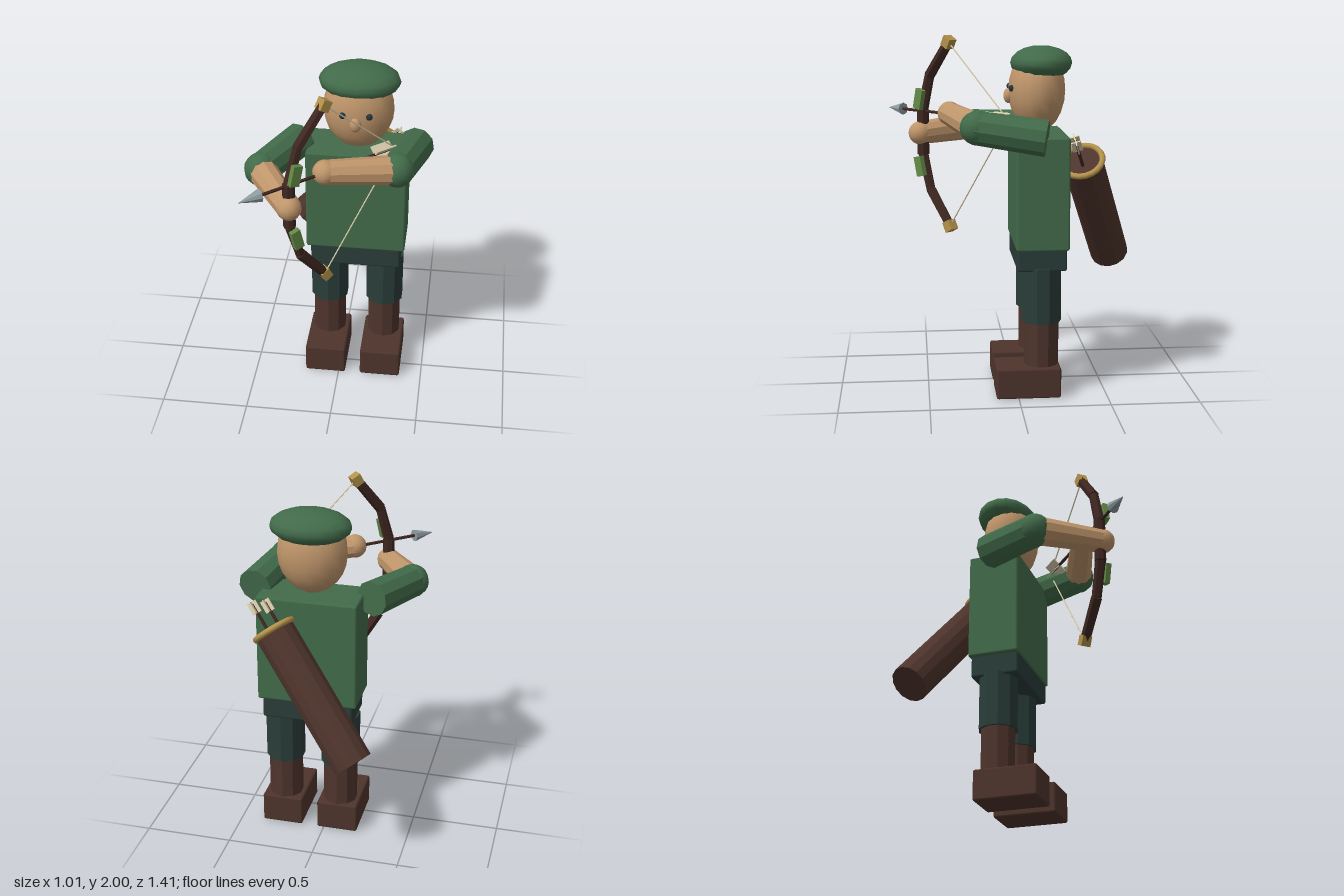
import * as THREE from 'three';
import { RoundedBoxGeometry } from 'three/addons/geometries/RoundedBoxGeometry.js';

const mat = (name, color, flatShading = false) => {
  const m = new THREE.MeshStandardMaterial({ color, flatShading });
  m.name = name;
  return m;
};
const V = (x, y, z) => new THREE.Vector3(x, y, z);
const UP = V(0, 1, 0);

export function createModel() {
  const root = new THREE.Group();
  root.name = 'archer';
  const green = mat('tunic green', 0x426b4a);
  const dark = mat('trouser green', 0x2a3d39);
  const leather = mat('leather brown', 0x4e342c);
  const wood = mat('bow wood', 0x3f2721);
  const skin = mat('skin', 0xc0966b);
  const gold = mat('gold', 0xb3924a);
  const steel = mat('steel', 0x8f9ca1);
  const cream = mat('feather cream', 0xd8ccac);
  const leaf = mat('grip leaf green', 0x648b47);
  const eyeMat = mat('eye', 0x26363c);

  const add = (name, geo, material, parent = root) => {
    const m = new THREE.Mesh(geo, material);
    m.name = name;
    parent.add(m);
    return m;
  };
  // Softly bevelled block given by its extents
  const block = (name, x0, x1, y0, y1, z0, z1, material) => {
    const g = new RoundedBoxGeometry(x1 - x0, y1 - y0, z1 - z0, 1, 0.012);
    add(name, g, material).position.set((x0 + x1) / 2, (y0 + y1) / 2, (z0 + z1) / 2);
  };
  // Faceted tapered rod from a to b
  const rod = (name, a, b, ra, rb, material, sides = 10, parent = root) => {
    const d = b.clone().sub(a);
    const g = new THREE.CylinderGeometry(rb, ra, d.length(), sides).toNonIndexed();
    g.computeVertexNormals();
    const m = add(name, g, material, parent);
    m.position.copy(a).addScaledVector(d, 0.5);
    m.quaternion.setFromUnitVectors(UP, d.normalize());
    return m;
  };
  const ball = (name, c, rx, ry, rz, material, w = 16, h = 12) => {
    const m = add(name, new THREE.SphereGeometry(1, w, h), material);
    m.position.copy(c);
    m.scale.set(rx, ry, rz);
    return m;
  };
  // Two crossed feather plates centred on c, along direction d
  const fletching = (name, c, d, length, width) => {
    const g = new THREE.Group();
    g.name = name;
    for (let i = 0; i < 2; i++) {
      add('feather', new THREE.BoxGeometry(width, length, 0.008), cream, g).rotation.y = i * Math.PI / 2;
    }
    g.position.copy(c);
    g.quaternion.setFromUnitVectors(UP, d);
    root.add(g);
    return g;
  };

  // Torso and hips
  block('torso', -0.2, 0.37, 0.85, 1.475, -0.28, 0.015, green);
  block('hips', -0.175, 0.345, 0.73, 0.86, -0.268, 0.008, dark);

  // Legs and boots
  for (const [side, x] of [['right', -0.08], ['left', 0.25]]) {
    rod(side + 'Thigh', V(x, 0.43, -0.135), V(x, 0.745, -0.135), 0.112, 0.112, dark);
    rod(side + 'Shin', V(x, 0.15, -0.135), V(x, 0.44, -0.135), 0.098, 0.098, leather);
    block(side + 'Boot', x - 0.12, x + 0.12, 0.005, 0.18, -0.238, 0.125, leather);
  }

  // Head, face and cap
  ball('head', V(0.085, 1.71, -0.123), 0.197, 0.235, 0.16, skin);
  ball('nose', V(0.083, 1.68, 0.035), 0.033, 0.042, 0.03, skin, 10, 8);
  for (const x of [0.012, 0.157]) ball('eye', V(x, 1.727, 0.022), 0.019, 0.019, 0.019, eyeMat, 10, 8);
  ball('cap', V(0.087, 1.863, -0.147), 0.227, 0.094, 0.173, green, 16, 10);

  // Arms: shoulder, elbow, hand
  const arms = {
    right: [V(-0.25, 1.47, -0.14), V(-0.413, 1.46, 0.19), V(-0.208, 1.44, 0.525)],
    left: [V(0.41, 1.48, -0.145), V(0.33, 1.53, 0.225), V(-0.04, 1.57, 0.36)],
  };
  for (const [side, [s, e, h]] of Object.entries(arms)) {
    rod(side + 'Sleeve', s, e, 0.1, 0.093, green);
    ball(side + 'Elbow', e, 0.094, 0.094, 0.094, green, 12, 10);
    rod(side + 'Forearm', e, h, 0.082, 0.066, skin);
    ball(side + 'Hand', h, 0.068, 0.068, 0.068, skin, 12, 10);
  }

  // Bow lies in the vertical plane through the nocked arrow
  const nock = V(0.305, 1.567, 0.055);
  const aim = V(-0.739, 0, 0.65).normalize();
  const sideways = V(aim.z, 0, -aim.x);
  const yaw = Math.atan2(aim.x, aim.z);
  const onBow = (y, z) => V(nock.x + (z - nock.z) / aim.z * aim.x, 1.445 + y, z);
  const limb = [[0, 0.515], [0.13, 0.508], [0.33, 0.468], [0.525, 0.362]];
  rod('bowGrip', onBow(-0.13, 0.508), onBow(0.13, 0.508), 0.034, 0.034, wood, 8);
  for (const s of [1, -1]) {
    for (let i = 1; i < limb.length - 1; i++) {
      const [a, b] = [limb[i], limb[i + 1]];
      rod('bowLimb', onBow(a[0] * s, a[1]), onBow(b[0] * s, b[1]), 0.031, 0.028, wood, 6);
    }
    const tip = onBow(0.525 * s, 0.362);
    const cap = add('bowTip', new THREE.BoxGeometry(0.055, 0.06, 0.055), gold);
    cap.position.copy(tip);
    cap.rotation.set(-s * 0.5, yaw, 0, 'YXZ');
    rod('bowString', tip, nock, 0.004, 0.004, cream, 5);
    const wrap = add('bowWrap', new THREE.BoxGeometry(0.03, 0.115, 0.055), leaf);
    wrap.position.copy(onBow(0.195 * s, 0.497)).addScaledVector(sideways, 0.042);
    wrap.rotation.set(-s * 0.24, yaw, 0, 'YXZ');
  }

  // Nocked arrow
  const along = (t) => nock.clone().addScaledVector(aim, t);
  rod('arrowShaft', nock, along(0.88), 0.009, 0.009, wood, 6);
  rod('arrowHead', along(0.858), along(0.984), 0.036, 0.001, steel, 8);
  fletching('arrowFletching', along(0.08), aim, 0.12, 0.1);

  // Quiver on the back with spare arrows
  const bottom = V(-0.26, 0.7, -0.602), top = V(0.24, 1.33, -0.362);
  const axis = top.clone().sub(bottom).normalize();
  rod('quiver', bottom, top, 0.112, 0.112, leather, 14);
  const rim = add('quiverRim', new THREE.TorusGeometry(0.112, 0.017, 8, 20), gold);
  rim.position.copy(top);
  rim.quaternion.setFromUnitVectors(V(0, 0, 1), axis);
  for (const off of [V(0.032, -0.015, 0.005), V(-0.042, 0.005, 0.005)]) {
    const base = top.clone().add(off);
    rod('spareArrowShaft', base.clone().addScaledVector(axis, -0.05),
      base.clone().addScaledVector(axis, 0.17), 0.009, 0.009, wood, 6);
    fletching('spareFletching', base.clone().addScaledVector(axis, 0.15), axis, 0.07, 0.055);
  }
  return root;
}
